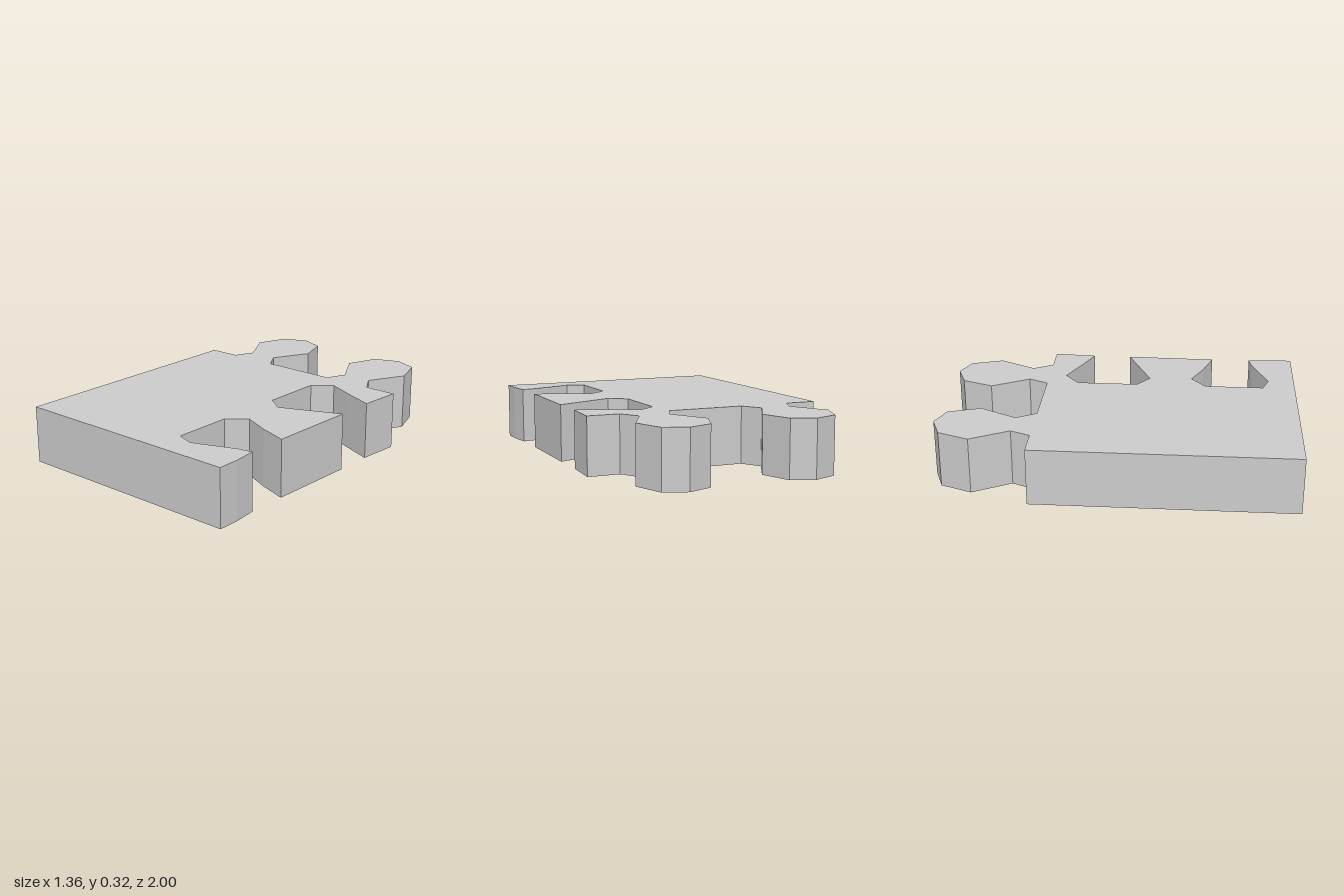
import * as THREE from 'three';

const HEIGHT = 0.32;

// Rounded tab on the back edge, as [x, z] from its right foot to its left foot
const TAB = [
  [0.495, -0.45], [0.43, -0.56], [0.54, -0.77], [0.48, -0.95], [0.35, -1],
  [0.21, -0.945], [0.142, -0.77], [0.26, -0.56], [0.21, -0.45],
];
const TAB_SPACING = 0.715;

// Notches in the side edge, each from its front lip to its back lip
const FRONT_NOTCH = [
  [0.65, 0.745], [0.57, 0.76], [0.33, 0.85], [0.23, 0.815],
  [0.23, 0.48], [0.335, 0.397], [0.485, 0.465], [0.65, 0.52],
];
const BACK_NOTCH = [
  [0.66, 0.01], [0.325, 0.15], [0.23, 0.08],
  [0.23, -0.27], [0.335, -0.35], [0.49, -0.28], [0.66, -0.21],
];

export function createModel() {
  const model = new THREE.Group();
  model.name = 'jigsawPiece';

  // Outline: front edge, notched side, tabbed back edge, plain side
  const outline = [
    [-0.68, 1], [0.665, 1], [0.665, 0.88],
    ...FRONT_NOTCH,
    ...BACK_NOTCH,
    [0.677, -0.45],
    ...TAB,
    ...TAB.map(([x, z]) => [x - TAB_SPACING, z]),
    [-0.68, -0.45],
  ];
  const shape = new THREE.Shape(outline.map(([x, z]) => new THREE.Vector2(x, -z)));

  // Flat slab lying on the ground
  const geometry = new THREE.ExtrudeGeometry(shape, { depth: HEIGHT, bevelEnabled: false });
  geometry.rotateX(-Math.PI / 2);

  const piece = new THREE.Mesh(
    geometry,
    new THREE.MeshStandardMaterial({ color: 0xcccccc, flatShading: true }),
  );
  piece.name = 'puzzleSlab';
  model.add(piece);
  return model;
}
